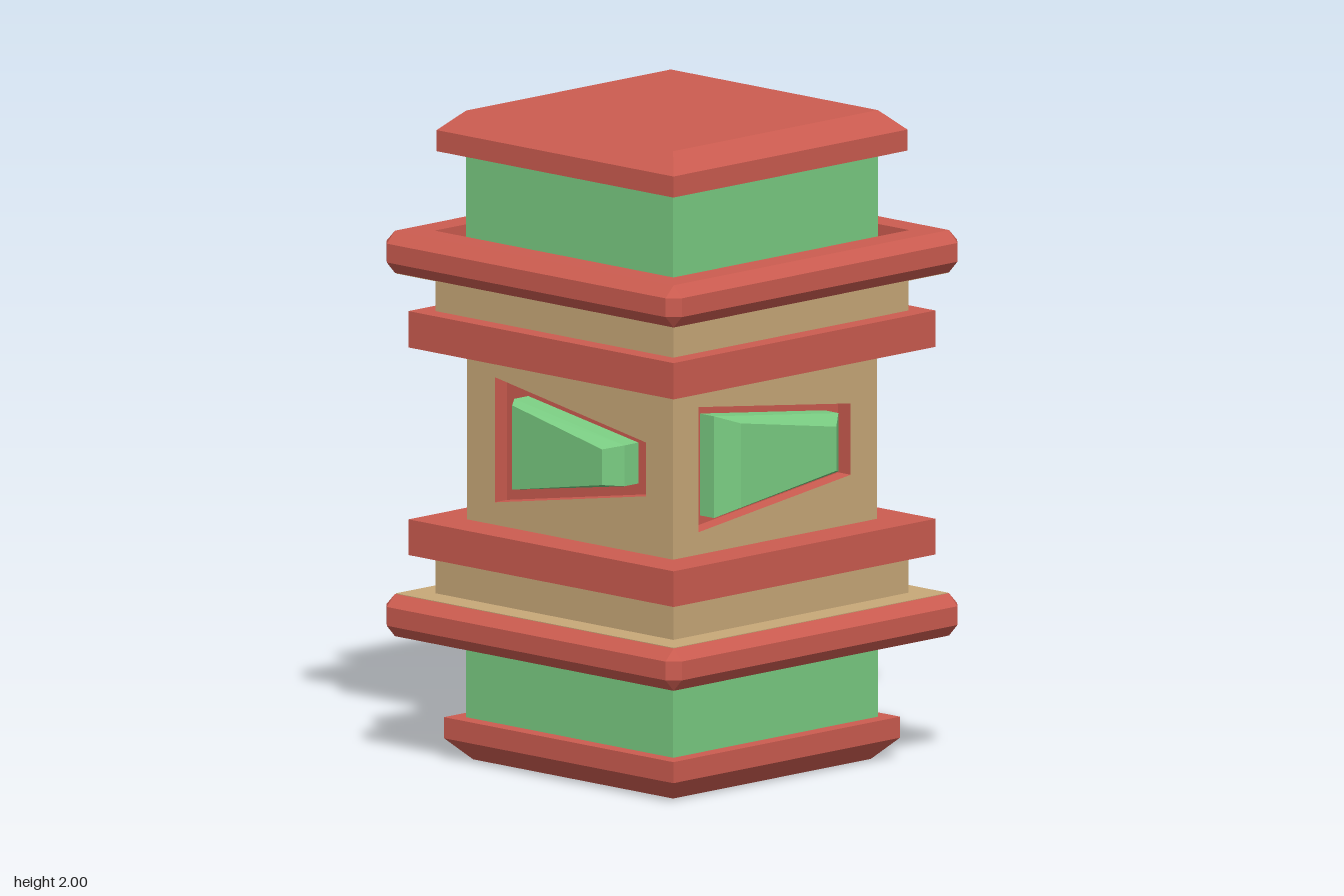
import * as THREE from 'three';

const material = (color) => new THREE.MeshStandardMaterial({ color, flatShading: true });

// Skin a list of equal-length loops (counter-clockwise seen from +z) with quads
function skin(loops) {
  const pos = [];
  for (let k = 0; k < loops.length - 1; k++) {
    const a = loops[k], b = loops[k + 1], n = a.length;
    for (let i = 0; i < n; i++) {
      const j = (i + 1) % n;
      pos.push(...a[i], ...a[j], ...b[j], ...a[i], ...b[j], ...b[i]);
    }
  }
  const g = new THREE.BufferGeometry();
  g.setAttribute('position', new THREE.Float32BufferAttribute(pos, 3));
  g.computeVertexNormals();
  return g;
}

// Square loop at a height, its corners optionally cut
function square(half, height, cut = 0) {
  const pts = [], c = half - cut;
  for (const [sx, sy, flip] of [[1, -1, 0], [1, 1, 1], [-1, 1, 0], [-1, -1, 1]]) {
    const p = [[sx * c, sy * half, height], [sx * half, sy * c, height]];
    pts.push(...(flip ? p.reverse() : p));
  }
  return pts;
}

// Square tier from a profile of [half width, height, corner cut]
const tier = (profile) => skin(profile.map((p) => square(...p))).rotateX(-Math.PI / 2);
const solid = (profile) => tier([[0, profile[0][1]], ...profile, [0, profile.at(-1)[1]]]);
const block = (half, y0, y1) => solid([[half, y0], [half, y1]]);

// Tapering four-sided loop: left end, right end as [x, half height, depth]
const taper = ([xl, hl, zl], [xr, hr, zr]) =>
  [[xl, -hl, zl], [xr, -hr, zr], [xr, hr, zr], [xl, hl, zl]];
const centre = (loop) => {
  const c = [0, 1, 2].map((k) => loop.reduce((s, p) => s + p[k], 0) / loop.length);
  return loop.map(() => c);
};

export function createModel() {
  const model = new THREE.Group();
  const red = material(0xcc5c50), green = material(0x7acc82), tan = material(0xc8a878);
  const add = (name, geometry, mat, parent = model) => {
    const mesh = new THREE.Mesh(geometry, mat);
    mesh.name = name;
    parent.add(mesh);
  };

  // Foot and cap with chamfered edges
  add('foot', solid([[0.425, 0], [0.487, 0.065], [0.487, 0.13]]), red);
  add('cap', solid([[0.503, 1.875], [0.503, 1.94], [0.44, 2]]), red);

  // Green column sections
  add('lowerColumn', block(0.44, 0.12, 0.5), green);
  add('upperColumn', block(0.44, 1.5, 1.88), green);

  // Chamfered collars: hollow frames with a shallow gap around the column
  for (const [name, y] of [['lowerCollar', 0.38], ['upperCollar', 1.5]]) {
    add(name, tier([
      [0.507, y], [0.592, y], [0.627, y + 0.037, 0.035], [0.627, y + 0.095, 0.035],
      [0.592, y + 0.13], [0.507, y + 0.13], [0.507, y],
    ]), red);
  }

  // Tan ledges and necks behind the collars, and the plain bands
  add('lowerLedge', block(0.59, 0.49, 0.512), tan);
  add('upperLedge', block(0.59, 1.498, 1.52), tan);
  add('lowerNeck', block(0.505, 0.48, 0.64), tan);
  add('upperNeck', block(0.505, 1.37, 1.53), tan);
  add('lowerBand', block(0.563, 0.63, 0.74), red);
  add('upperBand', block(0.563, 1.27, 1.382), red);

  // Middle: four tan panels, each with a red tapering recess and a green gem.
  // Sizes run from the tall end to the short end as [x, half height, depth].
  const face = 0.438, floor = 0.385;
  const frontSizes = {
    rim: [[-0.33, 0.193], [0.325, 0.11]],
    base: [[-0.27, 0.157], [0.265, 0.09]],
    top: [[-0.195, 0.13, 0.485], [0.19, 0.068, 0.51]],
  };
  const sideSizes = {
    rim: [[-0.32, 0.193], [0.322, 0.083]],
    base: [[-0.23, 0.14], [0.238, 0.063]],
    top: [[-0.2, 0.13, 0.485], [0.205, 0.055, 0.508]],
  };
  const sides = [
    ['front', frontSizes, 0, false], ['left', sideSizes, Math.PI / 2, true],
    ['back', frontSizes, Math.PI, true], ['right', sideSizes, -Math.PI / 2, false],
  ];
  for (const [name, sizes, turn, mirrored] of sides) {
    const side = new THREE.Group();
    side.name = name + 'Side';
    side.rotation.y = turn;
    side.position.y = 1.002;
    const loop = ([a, b], z) => {
      const end = ([x, h, d]) => [mirrored ? -x : x, h, z ?? d];
      return mirrored ? taper(end(b), end(a)) : taper(end(a), end(b));
    };
    const rim = loop(sizes.rim, face), bed = loop(sizes.rim, floor), top = loop(sizes.top);

    const shape = new THREE.Shape([[-1, -1], [1, -1], [1, 1], [-1, 1]]
      .map(([x, y]) => new THREE.Vector2(x * face, y * 0.275)));
    shape.holes.push(new THREE.Path(rim.map(([x, y]) => new THREE.Vector2(x, y))));
    add(name + 'Panel', new THREE.ShapeGeometry(shape).translate(0, 0, face), tan, side);
    add(name + 'Recess', skin([rim, bed, centre(bed)]), red, side);
    add(name + 'Gem', skin([loop(sizes.base, floor), loop(sizes.base, 0.445), top, centre(top)]), green, side);
    model.add(side);
  }
  return model;
}
